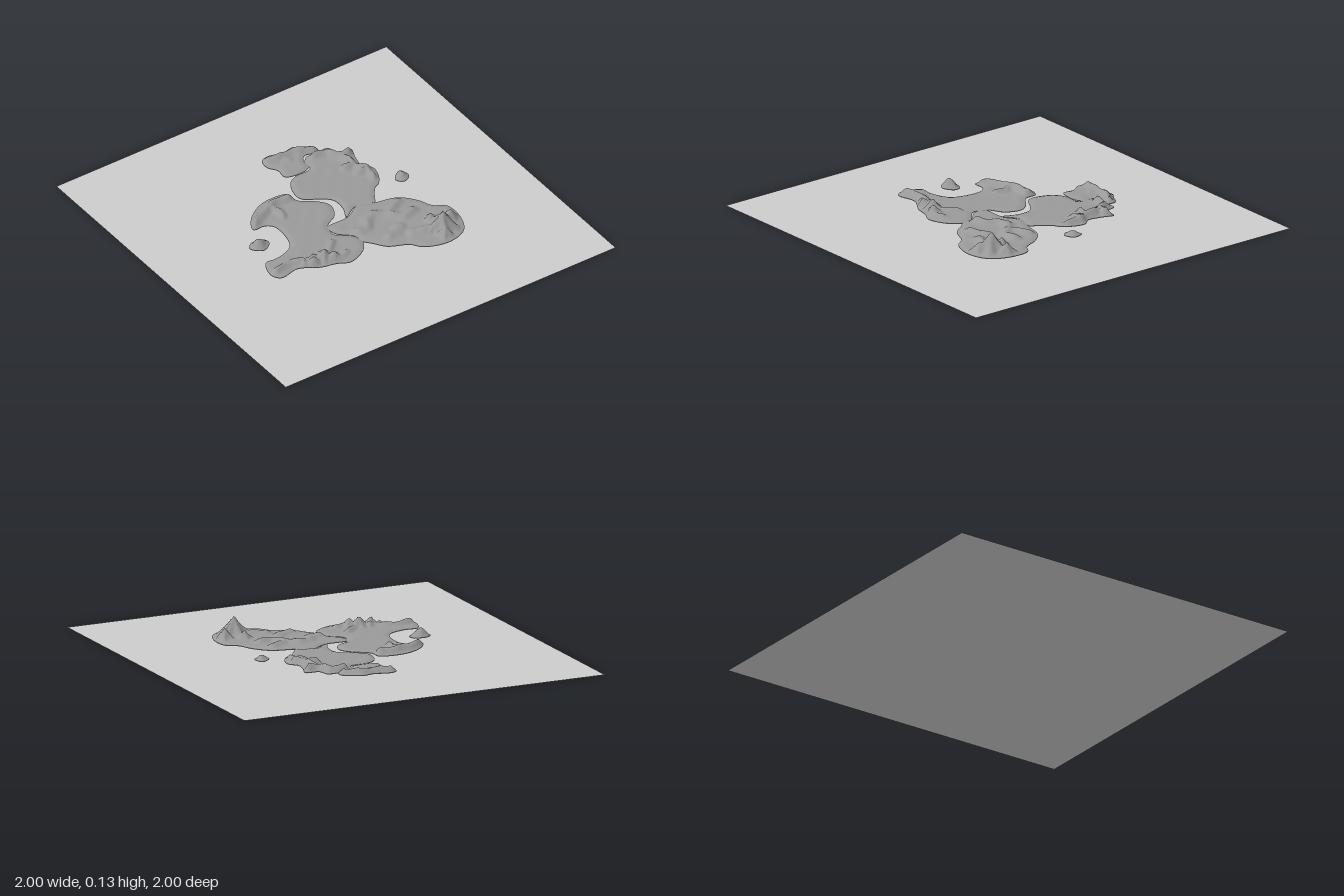
import * as THREE from 'three';

const BASE = 0.025, STEP = 0.01;

// Ridges are [height, half width, x, z, x, z, ...]; a single point makes a peak.
const northIslet = {
  outline: [-.06, -.56, -.01, -.575, .06, -.555, .13, -.565, .17, -.54, .22, -.51, .215, -.46, .14, -.475,
    .11, -.44, .11, -.395, .07, -.37, -.04, -.385, -.04, -.45, -.07, -.5],
  ridges: [[.024, .035, -.04, -.54, .02, -.53, .1, -.535, .15, -.51, .2, -.48], [.012, .03, .02, -.53, .05, -.49]]
};
const northeastIsland = {
  outline: [.14, -.46, .19, -.46, .27, -.46, .29, -.4, .36, -.39, .34, -.32, .33, -.25, .365, -.2, .35, -.13,
    .315, -.08, .28, -.06, .235, 0, .21, .035, .11, .01, .02, .06, .05, -.01, .05, -.09, .015, -.13,
    -.08, -.2, -.055, -.32, 0, -.36, .1, -.37, .11, -.43],
  ridges: [[.03, .035, .17, -.44, .24, -.42, .27, -.37, .29, -.31, .29, -.2], [.035, .03, .28, -.37, .34, -.36],
    [.032, .03, .24, -.27, .29, -.25, .33, -.2], [.028, .03, .27, -.2, .32, -.19, .32, -.13]]
};
const westIsland = {
  outline: [-.4, -.17, -.33, -.24, -.235, -.28, -.11, -.265, -.1, -.195, -.02, -.13, .015, -.07, -.015, .01,
    -.09, .06, -.11, .135, -.04, .2, -.02, .255, -.055, .32, -.165, .37, -.235, .34, -.315, .32,
    -.415, .265, -.525, .28, -.555, .235, -.52, .135, -.45, .135, -.36, .105, -.325, .055,
    -.315, -.08, -.35, -.115, -.415, -.12],
  ridges: [[.028, .04, -.39, -.15, -.31, -.2, -.22, -.23, -.12, -.23], [.022, .03, -.26, -.22, -.23, -.17, -.24, -.12],
    [.022, .03, -.53, .23, -.42, .21, -.33, .25], [.018, .03, -.22, .25, -.16, .19], [.018, .03, -.22, .33, -.15, .3],
    [.045, .045, -.33, .28], [.035, .035, -.31, .25], [.057, .05, -.26, .27], [.045, .045, -.22, .3],
    [.03, .03, -.37, .26]]
};
const southIsland = {
  outline: [-.1, .07, .03, .06, .12, .01, .21, .04, .325, .07, .395, .145, .43, .22, .49, .265, .49, .39,
    .44, .48, .325, .515, .2, .475, .155, .42, .055, .37, .01, .31, -.03, .255, -.03, .21, -.1, .135],
  ridges: [[.022, .045, 0, .2, .05, .19, .09, .13, .14, .12, .2, .16, .25, .22, .32, .21], [.018, .04, .21, .15, .3, .11],
    [.018, .045, .1, .32, .15, .31, .19, .28], [.022, .05, .22, .36, .3, .38],
    [.1, .08, .37, .4], [.055, .05, .44, .36], [.045, .04, .35, .32], [.05, .05, .345, .455], [.035, .04, .31, .39]]
};
const westIslet = {
  outline: [-.52, -.005, -.485, -.04, -.42, -.03, -.41, .01, -.47, .045],
  ridges: [[.038, .06, -.47, 0]]
};
const eastIslet = {
  outline: [.405, -.07, .46, -.105, .475, -.045, .43, -.02, .4, -.045],
  ridges: [[.018, .05, .445, -.06]]
};

// Nearest point on the segment a-b to p
function nearest(px, pz, ax, az, bx, bz) {
  const dx = bx - ax, dz = bz - az, len = dx * dx + dz * dz;
  const t = len ? Math.min(1, Math.max(0, ((px - ax) * dx + (pz - az) * dz) / len)) : 0;
  const x = ax + t * dx, z = az + t * dz;
  return { x, z, d: Math.hypot(px - x, pz - z) };
}

function ridgeHeight(x, z, [height, width, ...p]) {
  let d = Infinity;
  for (let i = 0; i < Math.max(2, p.length - 2); i += 2) {
    const j = p.length > 2 ? i + 2 : 0;
    d = Math.min(d, nearest(x, z, p[p.length > 2 ? i : 0], p[p.length > 2 ? i + 1 : 1], p[j], p[j + 1]).d);
  }
  // Peaks get rocky ribs, ridges a soft crest
  if (p.length === 2) {
    const rib = 1 + 0.18 * Math.cos(5 * Math.atan2(z - p[1], x - p[0]) + p[0] * 40);
    return height * Math.pow(Math.max(0, 1 - d / (width * rib)), 1.3);
  }
  const k = Math.max(0, 1 - d / width);
  return height * k * k * (3 - 2 * k) * (0.85 + 0.15 * Math.sin(x * 55 + z * 47));
}

// Height field trimmed to a smooth coastline, with a thin rim below its edge
function island(name, { outline, ridges }, material) {
  const control = [];
  for (let i = 0; i < outline.length; i += 2) control.push(new THREE.Vector3(outline[i], 0, outline[i + 1]));
  const coast = new THREE.CatmullRomCurve3(control, true, 'centripetal').getPoints(control.length * 6);

  const inside = (x, z) => {
    let hit = false;
    for (let i = 0; i < coast.length - 1; i++) {
      const a = coast[i], b = coast[i + 1];
      if ((a.z > z) !== (b.z > z) && x < a.x + (b.x - a.x) * (z - a.z) / (b.z - a.z)) hit = !hit;
    }
    return hit;
  };
  const toCoast = (x, z) => {
    let best = { d: Infinity };
    for (let i = 0; i < coast.length - 1; i++) {
      const n = nearest(x, z, coast[i].x, coast[i].z, coast[i + 1].x, coast[i + 1].z);
      if (n.d < best.d) best = n;
    }
    return best;
  };

  const box = new THREE.Box3().setFromPoints(coast);
  const nx = Math.ceil((box.max.x - box.min.x) / STEP) + 1, nz = Math.ceil((box.max.z - box.min.z) / STEP) + 1;
  const kept = [];
  for (let j = 0; j < nz; j++) for (let i = 0; i < nx; i++) {
    kept.push(inside(box.min.x + (i + 0.5) * STEP, box.min.z + (j + 0.5) * STEP));
  }
  const cell = (i, j) => i >= 0 && j >= 0 && i < nx && j < nz && kept[j * nx + i];

  const positions = [], index = [], ids = new Map();
  const vertex = (i, j) => {
    const key = j * (nx + 1) + i;
    if (ids.has(key)) return ids.get(key);
    let x = box.min.x + i * STEP, z = box.min.z + j * STEP, y = BASE;
    const n = toCoast(x, z);
    if (cell(i, j) && cell(i - 1, j) && cell(i, j - 1) && cell(i - 1, j - 1)) {
      const rise = Math.min(1, n.d / 0.025);
      let relief = 0;
      for (const r of ridges) relief = Math.max(relief, ridgeHeight(x, z, r));
      y += rise * (0.007 + relief + 0.0008 * Math.sin(x * 60) * Math.cos(z * 53));
    } else {
      x = n.x; z = n.z;
    }
    ids.set(key, positions.length / 3);
    positions.push(x, y, z);
    return positions.length / 3 - 1;
  };
  const rim = (a, b) => {
    const k = positions.length / 3;
    for (const drop of [0, 0.003]) for (const v of [a, b]) {
      positions.push(positions[v * 3], BASE - drop, positions[v * 3 + 2]);
    }
    index.push(k, k + 2, k + 1, k + 1, k + 2, k + 3);
  };
  for (let j = 0; j < nz; j++) for (let i = 0; i < nx; i++) {
    if (!cell(i, j)) continue;
    const a = vertex(i, j), b = vertex(i + 1, j), c = vertex(i + 1, j + 1), d = vertex(i, j + 1);
    index.push(a, d, b, b, d, c);
    if (!cell(i, j - 1)) rim(b, a);
    if (!cell(i + 1, j)) rim(c, b);
    if (!cell(i, j + 1)) rim(d, c);
    if (!cell(i - 1, j)) rim(a, d);
  }
  const geometry = new THREE.BufferGeometry();
  geometry.setAttribute('position', new THREE.Float32BufferAttribute(positions, 3));
  geometry.setIndex(index);
  geometry.computeVertexNormals();
  const mesh = new THREE.Mesh(geometry, material);
  mesh.name = name;
  return mesh;
}

export function createModel() {
  const model = new THREE.Group();
  model.name = 'islandMap';

  // Flat sea sheet
  const sea = new THREE.Mesh(
    new THREE.PlaneGeometry(2, 2).rotateX(-Math.PI / 2),
    new THREE.MeshStandardMaterial({ color: 0xcccccc, side: THREE.DoubleSide })
  );
  sea.name = 'sea';
  model.add(sea);

  // Islands
  const land = new THREE.MeshStandardMaterial({ color: 0x999999, side: THREE.DoubleSide });
  const islands = { northIslet, northeastIsland, westIsland, southIsland, westIslet, eastIslet };
  for (const [name, data] of Object.entries(islands)) model.add(island(name, data, land));
  return model;
}
